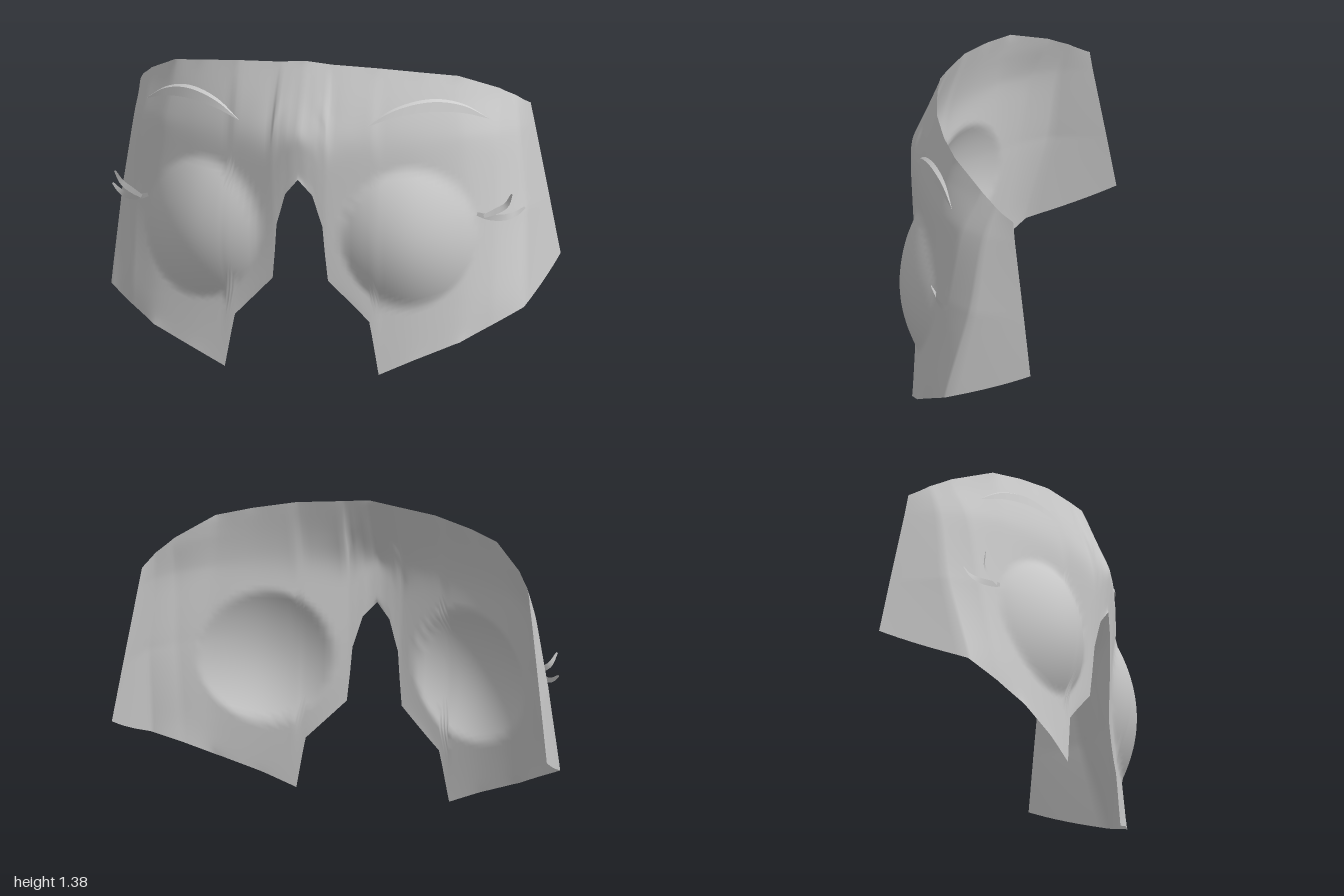
import * as THREE from 'three';

const material = new THREE.MeshStandardMaterial({ color: 0xcccccc, side: THREE.DoubleSide });
const lerp = THREE.MathUtils.lerp;

// Horizontal cross-sections of the left half: height, then [x, z] from the centre to the back edge
const sections = [
  [1.38, [[0, .235], [.12, .22], [.32, .18], [.5, .105], [.64, .02], [.78, -.15], [.81, -.2], [.85, -.26]]],
  [1.20, [[0, .305], [.13, .29], [.32, .245], [.5, .17], [.655, .085], [.795, -.085], [.85, -.18], [.88, -.255]]],
  [1.05, [[0, .373], [.13, .345], [.32, .285], [.5, .215], [.68, .115], [.81, -.01], [.875, -.125], [.905, -.273]]],
  [0.70, [[0, .345], [.12, .33], [.32, .275], [.5, .22], [.7, .14], [.825, .045], [.92, -.08], [.96, -.325]]],
  [0.30, [[0, .33], [.12, .312], [.32, .282], [.5, .245], [.69, .19], [.82, .12], [.94, .03], [1.022, -.382]]],
  [0.00, [[0, .31], [.12, .305], [.32, .297], [.5, .27], [.7, .22], [.815, .14], [.95, .06], [1.03, -.42]]],
];
// Outline: [position along the section, height]
const topEdge = [[0, 1.38], [2, 1.355], [4, 1.31], [5, 1.235], [7, 1.14]];
const bottomEdge = [[0, .87], [.5, .8], [.87, .66], [1.03, .415], [1.93, .235], [2.17, 0], [3.9, .14], [6, .285], [7, .45]];

function polyline(points, a) {
  let i = 0;
  while (i < points.length - 2 && a > points[i + 1][0]) i++;
  const [p, q] = [points[i], points[i + 1]];
  return lerp(p[1], q[1], (a - p[0]) / (q[0] - p[0]));
}

// Point on the sheet at position a along the section of height y
function sheetPoint(a, y) {
  let i = 0;
  while (i < sections.length - 2 && y < sections[i + 1][0]) i++;
  const [[y0, upper], [y1, lower]] = [sections[i], sections[i + 1]];
  const k = Math.min(6, Math.floor(a)), t = (y0 - y) / (y0 - y1);
  const at = c => lerp(lerp(upper[k][c], upper[k + 1][c], a - k), lerp(lower[k][c], lower[k + 1][c], a - k), t);
  return [at(0), y, at(1)];
}

// Evens out the depth inside a point grid and keeps its border
function relax(rows) {
  return rows.map((row, i) => row.map((p, j) => {
    if (i === 0 || j === 0 || i === rows.length - 1 || j === row.length - 1) return p;
    const across = [rows[i - 1][j], rows[i + 1][j]], [l, r] = across;
    // Neighbour depth at this x, so uneven columns stay in place
    const side = lerp(l[2], r[2], (p[0] - l[0]) / (r[0] - l[0]));
    const along = (row[j - 1][2] + row[j + 1][2]) / 2;
    const steep = Math.abs(l[1] - r[1]) > .06 || Math.abs(p[0]) > .8;
    return [p[0], p[1], steep ? (p[2] + along) / 2 : p[2] / 2 + (side + along) / 4];
  }));
}

// Pushes the rounded eye domes out of the sheet
function addDome([x, y, z]) {
  const d = ((Math.abs(x) - .47) / .28) ** 2 + ((y - .61) / .305) ** 2;
  const dome = Math.max(0, 1 - d);
  return [x + Math.sign(x) * .015 * dome, y, z + .088 * dome];
}

// Surface through a grid of points, rows[i][j]
function gridGeometry(rows) {
  const n = rows[0].length, index = [];
  for (let i = 0; i < rows.length - 1; i++)
    for (let j = 0; j < n - 1; j++) {
      const a = i * n + j, b = a + n;
      index.push(a, a + 1, b, b, a + 1, b + 1);
    }
  const geometry = new THREE.BufferGeometry();
  geometry.setAttribute('position', new THREE.Float32BufferAttribute(rows.flat(2), 3));
  geometry.setIndex(index);
  geometry.computeVertexNormals();
  return geometry;
}

function addMesh(group, name, geometry) {
  const mesh = new THREE.Mesh(geometry, material);
  mesh.name = name;
  group.add(mesh);
}

function faceGeometry() {
  // Columns fall on every outline corner
  const stops = [...new Set([...topEdge, ...bottomEdge].map(p => p[0]))].sort((a, b) => a - b);
  const columns = [0];
  for (let i = 1; i < stops.length; i++) {
    const count = Math.ceil((stops[i] - stops[i - 1]) / .13);
    for (let k = 1; k <= count; k++) columns.push(lerp(stops[i - 1], stops[i], k / count));
  }
  const half = columns.map(a => {
    const top = polyline(topEdge, a), bottom = polyline(bottomEdge, a);
    return Array.from({ length: 57 }, (_, j) => sheetPoint(a, lerp(top, bottom, j / 56)));
  });
  const mirrored = half.slice(1).reverse().map(col => col.map(([x, y, z]) => [-x, y, z]));
  let rows = [...mirrored, ...half];
  for (let pass = 0; pass < 24; pass++) rows = relax(rows);
  return gridGeometry(rows.map(row => row.map(addDome)));
}

const spline = pts => new THREE.CatmullRomCurve3(pts.map(p => new THREE.Vector3(...p)));

// Crescent brow: broad front face, narrow top ledge, tapering to both tips
function browGeometry(side) {
  const path = spline([[.285, 1.105, .287], [.4, 1.165, .24], [.55, 1.195, .165], [.68, 1.175, .09], [.785, 1.122, .03]]);
  const rows = [];
  for (let i = 0; i <= 24; i++) {
    const p = path.getPoint(i / 24), w = Math.sin(Math.PI * i / 24);
    const back = [side * (p.x - .004 * w), p.y + .027 * w, p.z - .012 * w];
    const ridge = [side * (p.x + .004 * w), p.y + .017 * w, p.z + .005 * w];
    const lower = [side * p.x, p.y - .025 * w, p.z + .018 * w];
    // Corners are doubled to keep the edges sharp
    rows.push([back, ridge, ridge, lower, lower, back]);
  }
  return gridGeometry(side > 0 ? rows : rows.reverse());
}

// Thin tapering ribbon for one lash strand
function lashGeometry(side, points, width) {
  const path = spline(points), rows = [];
  for (let i = 0; i <= 14; i++) {
    const t = i / 14, p = path.getPoint(t), d = path.getTangent(t);
    const w = width * Math.sin(Math.PI * (.2 + .7 * t)), l = Math.hypot(d.x, d.y) || 1;
    const nx = -d.y / l * w, ny = d.x / l * w;
    rows.push([[side * (p.x + nx), p.y + ny, p.z], [side * (p.x - nx), p.y - ny, p.z]]);
  }
  return gridGeometry(side > 0 ? rows : rows.reverse());
}

export function createModel() {
  const model = new THREE.Group();
  model.name = 'faceMask';
  addMesh(model, 'faceSheet', faceGeometry());
  for (const [side, label] of [[1, 'left'], [-1, 'right']]) {
    addMesh(model, label + 'Brow', browGeometry(side));
    const lashes = new THREE.Group();
    lashes.name = label + 'Lashes';
    addMesh(lashes, 'lowerLash', lashGeometry(side,
      [[.75, .71, .115], [.8, .695, .1], [.865, .69, .06], [.905, .703, .03], [.94, .73, .012]], .014));
    addMesh(lashes, 'upperLash', lashGeometry(side,
      [[.78, .7, .112], [.83, .722, .097], [.875, .75, .087], [.905, .805, .102]], .013));
    model.add(lashes);
  }
  return model;
}
